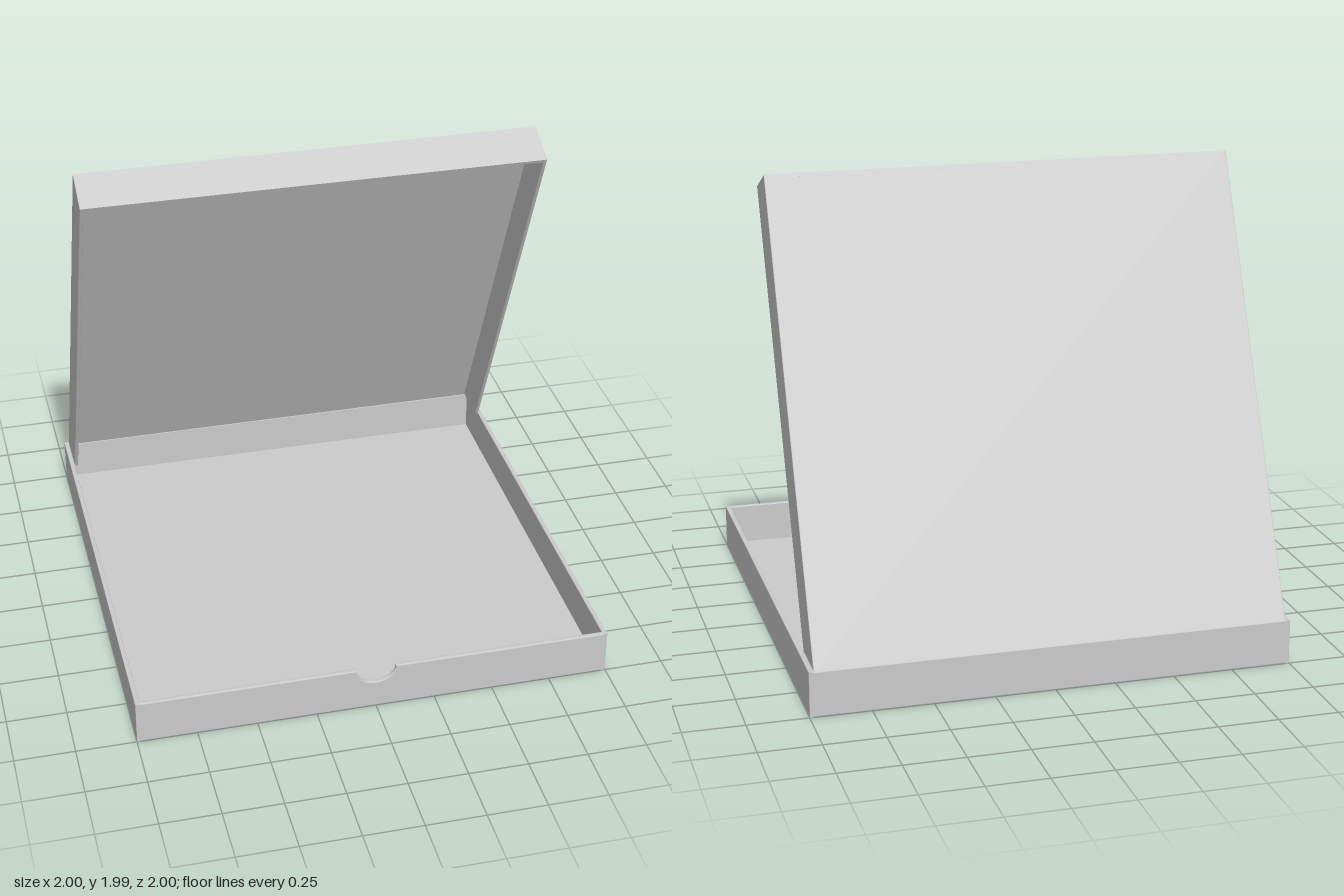
import * as THREE from 'three';

const material = new THREE.MeshStandardMaterial({ color: 0xcccccc });

// Card sheet: an outline in x/y given a thickness along z, with slightly softened edges.
function sheetGeometry(shape, thickness, bevel = 0.004) {
  const geometry = new THREE.ExtrudeGeometry(shape, {
    depth: thickness - 2 * bevel, bevelEnabled: true, bevelThickness: bevel,
    bevelSize: bevel, bevelOffset: -bevel, bevelSegments: 2, curveSegments: 16,
  });
  return geometry.translate(0, 0, bevel);
}

function polygon(points) {
  return new THREE.Shape(points.map(([a, b]) => new THREE.Vector2(a, b)));
}

function part(name, geometry) {
  const mesh = new THREE.Mesh(geometry, material);
  mesh.name = name;
  return mesh;
}

// Side profile in (z, y), extruded across the box from x0 to x1.
function acrossX(name, points, x0, x1) {
  const geometry = sheetGeometry(polygon(points), x1 - x0);
  return part(name, geometry.rotateY(-Math.PI / 2).translate(x1, 0, 0));
}

export function createModel() {
  const box = new THREE.Group();
  box.name = 'openBox';
  const H = 0.19, T = 0.02;

  // Tray
  const tray = new THREE.Group();
  tray.name = 'tray';
  const floor = new THREE.BoxGeometry(1.98, 0.014, 1.98).translate(0, 0.007, 0);
  tray.add(part('trayFloor', floor));

  const front = new THREE.Shape();
  front.moveTo(-1, 0);
  front.lineTo(1, 0);
  front.lineTo(1, H);
  front.lineTo(0.085, H);
  front.absellipse(0, H, 0.085, 0.07, 0, -Math.PI, true); // thumb notch
  front.lineTo(-1, H);
  tray.add(part('trayFrontWall', sheetGeometry(front, T).translate(0, 0, 1 - T)));

  const wall = [[-1, 0], [1, 0], [1, H], [-1, H]];
  tray.add(part('trayBackWall', sheetGeometry(polygon(wall), T).translate(0, 0, -1)));
  tray.add(acrossX('trayLeftWall', wall, 1 - T, 1));
  tray.add(acrossX('trayRightWall', wall, -1, -1 + T));
  box.add(tray);

  // Raised lid: corners of its side profile in (z, y)
  const hinge = [-0.995, H], outerTop = [-0.18, 1.985];
  const innerTop = [-0.013, 1.908], innerFoot = [-0.792, H];
  const W = 0.98, t = 0.015;
  const lid = new THREE.Group();
  lid.name = 'lid';
  lid.add(acrossX('lidPanel',
    [hinge, [hinge[0] + 0.0165, H], [outerTop[0] + 0.0137, outerTop[1] - 0.0063], outerTop], -W, W));
  const drop = ([z, y]) => [z - t * 0.414, y - t * 0.91];
  lid.add(acrossX('lidFrontFlap',
    [drop(outerTop), drop(innerTop), innerTop, outerTop], -W, W));
  const flap = [hinge, innerFoot, innerTop, outerTop];
  lid.add(acrossX('lidLeftFlap', flap, W - t, W));
  lid.add(acrossX('lidRightFlap', flap, -W, -W + t));
  box.add(lid);

  return box;
}
